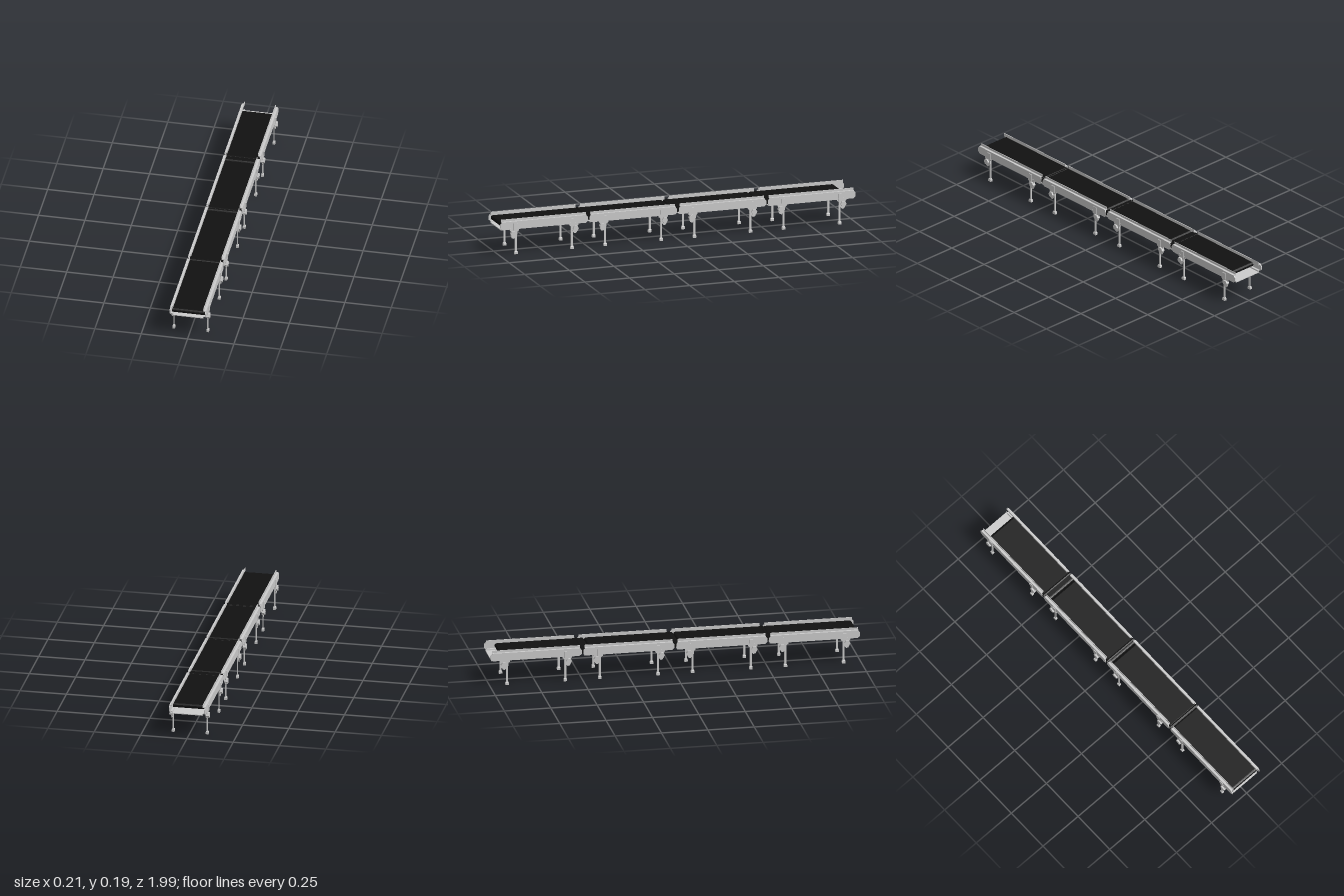
import * as THREE from 'three';

const grey = new THREE.MeshStandardMaterial({ color: 0xcccccc, flatShading: true, side: THREE.DoubleSide });
const black = new THREE.MeshStandardMaterial({ color: 0x111111, flatShading: true });

function add(parent, name, geometry, material, x = 0, y = 0, z = 0) {
  const mesh = new THREE.Mesh(geometry, material);
  mesh.name = name;
  mesh.position.set(x, y, z);
  parent.add(mesh);
  return mesh;
}

const box = (w, h, d) => new THREE.BoxGeometry(w, h, d);

// Extrudes a [z, y] outline along x, from x0 to x1
function sidePlate(points, x0, x1) {
  const shape = new THREE.Shape(points.map(([z, y]) => new THREE.Vector2(-z, y)));
  const g = new THREE.ExtrudeGeometry(shape, { depth: x1 - x0, bevelEnabled: false });
  return g.rotateY(Math.PI / 2).translate(x0, 0, 0);
}

// Extrudes an [x, y] outline along z, centred on z = 0
function profile(points, length) {
  const shape = new THREE.Shape(points.map(([x, y]) => new THREE.Vector2(x, y)));
  return new THREE.ExtrudeGeometry(shape, { depth: length, bevelEnabled: false }).translate(0, 0, -length / 2);
}

// Leg with foot, hanger plate and clamp knob; the knob lies on the +z side
function makeLeg() {
  const leg = new THREE.Group();
  leg.name = 'leg';
  add(leg, 'post', box(0.005, 0.125, 0.011), grey, 0.0915, 0.075, 0);
  add(leg, 'footBase', box(0.014, 0.012, 0.018), grey, 0.0915, 0.006, 0);
  const top = new THREE.CylinderGeometry(0.0071, 0.0099, 0.005, 4).rotateY(Math.PI / 4);
  add(leg, 'footTop', top, grey, 0.0915, 0.0145, 0).scale.z = 1.28;
  const hanger = [[-0.016, 0.145], [-0.016, 0.13], [-0.006, 0.124], [-0.006, 0.108],
    [0.012, 0.085], [0.024, 0.088], [0.03, 0.1], [0.03, 0.126], [0.036, 0.132], [0.036, 0.145]];
  add(leg, 'hangerPlate', sidePlate(hanger, 0.094, 0.098), grey);
  add(leg, 'hangerStrap', box(0.004, 0.038, 0.022), grey, 0.099, 0.15, 0.004);
  const knob = new THREE.CylinderGeometry(0.016, 0.016, 0.018, 6).rotateZ(Math.PI / 2);
  add(leg, 'clampKnob', knob, grey, 0.098, 0.114, 0.018);
  return leg;
}

// Rail of one section on the +x side
function makeRail() {
  const rail = new THREE.Group();
  rail.name = 'sideRail';
  const h = 0.245;
  const web = [[-h + 0.012, 0.137], [h - 0.012, 0.137], [h, 0.148], [h, 0.168],
    [h - 0.01, 0.179], [-h + 0.01, 0.179], [-h, 0.168], [-h, 0.148]];
  add(rail, 'railWeb', sidePlate(web, 0.0925, 0.0975), grey);
  const lip = [[0.0975, 0.176], [0.0975, 0.18], [0.085, 0.18], [0.085, 0.192], [0.082, 0.192], [0.082, 0.176]];
  add(rail, 'railLip', profile(lip, 0.474), grey);
  add(rail, 'railLedge', box(0.012, 0.003, 0.466), grey, 0.0875, 0.1425, 0);
  return rail;
}

export function createModel() {
  const model = new THREE.Group();
  model.name = 'conveyor';

  // Four frame sections
  for (const z of [-0.75, -0.25, 0.25, 0.75]) {
    const section = new THREE.Group();
    section.name = 'frameSection';
    section.position.z = z;
    model.add(section);

    const pan = [[-0.082, 0.133], [0.082, 0.133], [0.084, 0.144], [0.081, 0.144],
      [0.08, 0.137], [-0.08, 0.137], [-0.081, 0.144], [-0.084, 0.144]];
    add(section, 'bottomPan', profile(pan, 0.478), grey);

    for (const s of [1, -1]) {
      const side = new THREE.Group();
      side.name = s > 0 ? 'leftSide' : 'rightSide';
      side.scale.x = s;
      side.add(makeRail());
      for (const e of [1, -1]) {
        const leg = makeLeg();
        leg.position.z = e * 0.157;
        leg.scale.z = e;
        side.add(leg);
      }
      section.add(side);
    }
  }

  // Belt loops, set end to end with rounded noses
  const pitch = 0.481, r = 0.0125;
  for (let i = 0; i < 4; i++) {
    const half = pitch / 2 - r;
    const outline = [];
    for (let k = 0; k <= 8; k++) {
      const a = -Math.PI / 2 + (k / 8) * Math.PI;
      outline.push([half + r * Math.cos(a), r * Math.sin(a)]);
    }
    for (let k = 0; k <= 8; k++) {
      const a = Math.PI / 2 + (k / 8) * Math.PI;
      outline.push([-half + r * Math.cos(a), r * Math.sin(a)]);
    }
    add(model, 'belt', sidePlate(outline, -0.088, 0.088), black, 0, 0.1595, 0.985 - pitch * (i + 0.5));
  }

  // Joint rollers in the gaps between sections
  for (const z of [-0.5, 0, 0.5]) {
    const roller = new THREE.CylinderGeometry(0.011, 0.011, 0.19, 12).rotateZ(Math.PI / 2);
    add(model, 'jointRoller', roller, black, 0, 0.163, z);
  }
  return model;
}
